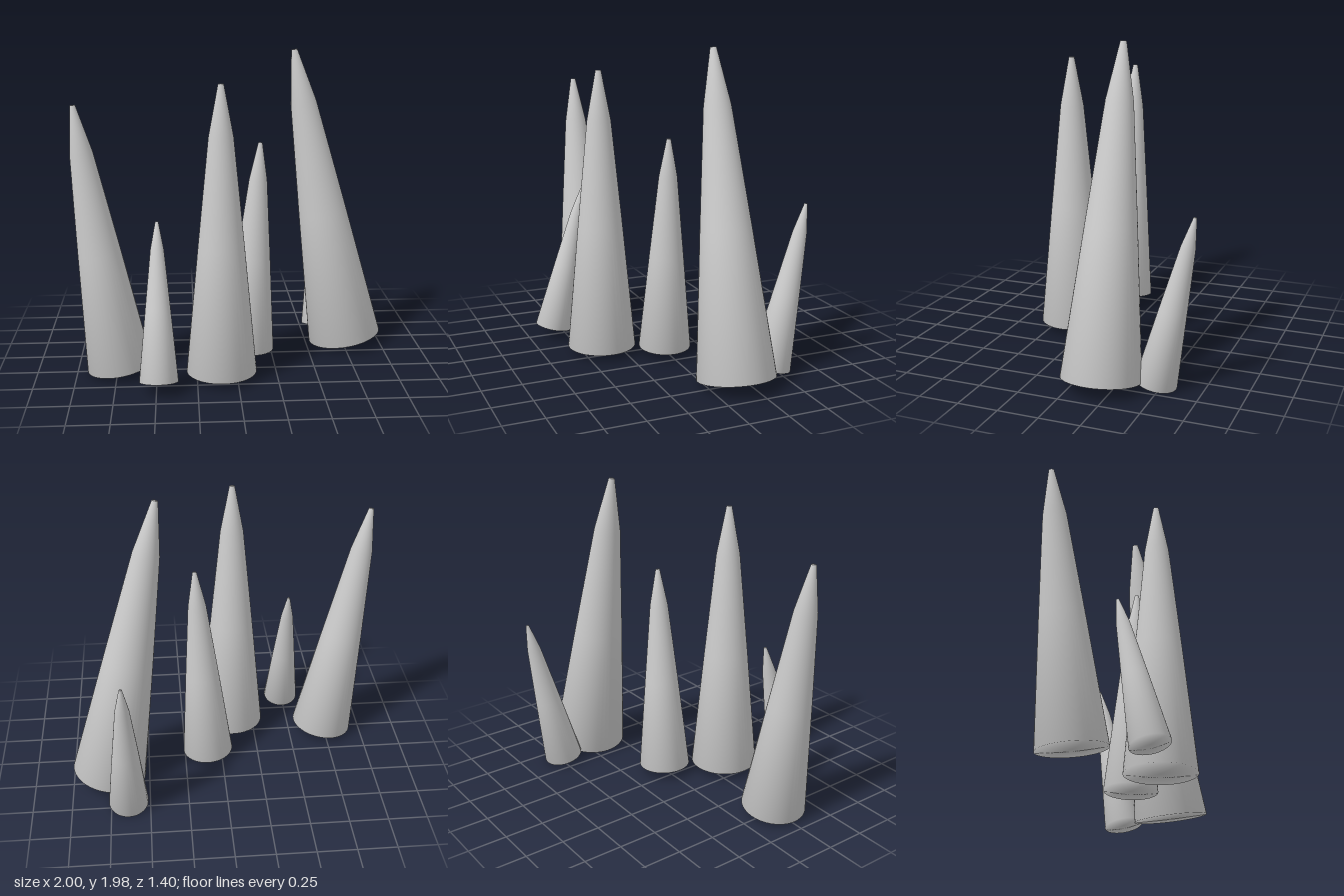
import * as THREE from 'three';

// One spike: slim tapered body, sharper shoulder and a tiny blunt tip
function makeSpike(name, base, tip, radius) {
  const from = new THREE.Vector3(...base);
  const axis = new THREE.Vector3(...tip).sub(from);
  const length = axis.length();
  // [radius fraction, height fraction] from base centre to tip centre
  const profile = [[0, 0], [1, 0], [0.65, 0.45], [0.345, 0.825], [0.08, 1], [0, 1]]
    .map(([r, h]) => new THREE.Vector2(r * radius, h * length));
  const spike = new THREE.Mesh(
    new THREE.LatheGeometry(profile, 48),
    new THREE.MeshStandardMaterial({ color: 0xcccccc })
  );
  spike.name = name;
  spike.position.copy(from);
  spike.quaternion.setFromUnitVectors(new THREE.Vector3(0, 1, 0), axis.normalize());
  return spike;
}

export function createModel() {
  const group = new THREE.Group();
  group.name = 'spikeCluster';

  // name, base centre, tip centre, base radius
  const spikes = [
    ['tallLeftSpike', [0.762, 0.06, -0.172], [0.395, 1.985, -0.172], 0.241],
    ['centreSpike', [-0.097, 0.05, 0.372], [-0.097, 1.83, 0.372], 0.218],
    ['rightSpike', [-0.735, 0.05, 0.255], [-0.97, 1.697, 0.255], 0.203],
    ['middleSpike', [0.094, 0.058, 0.008], [0.167, 1.42, 0.012], 0.167],
    ['smallFrontSpike', [-0.484, 0.075, 0.585], [-0.484, 1.01, 0.364], 0.118],
    ['smallBackSpike', [0.638, 0.034, -0.47], [0.638, 1.05, -0.69], 0.127],
  ];
  for (const spike of spikes) group.add(makeSpike(...spike));

  return group;
}
